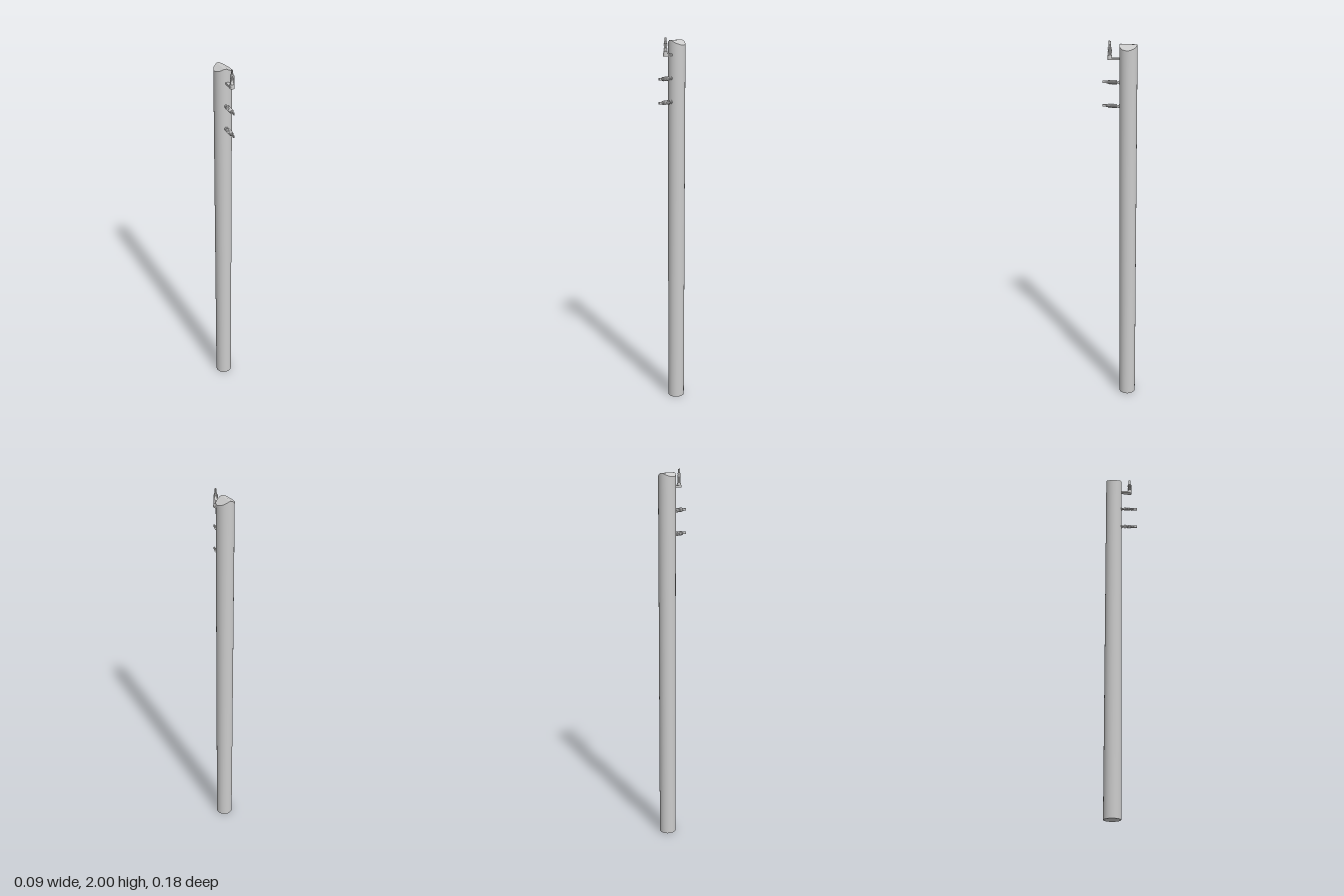
import * as THREE from 'three';

const R = 0.0445, SIDES = 24, POLE_Z = -0.045;
const grey = new THREE.MeshStandardMaterial({ color: 0xcccccc });
const flatGrey = new THREE.MeshStandardMaterial({ color: 0xcccccc, flatShading: true });

function add(parent, name, geometry, material = grey) {
  const mesh = new THREE.Mesh(geometry, material);
  mesh.name = name;
  parent.add(mesh);
  return mesh;
}

// Height of the bevelled pole top: narrow flat ridge with a slope to each side
const ridgeLeft = -R * Math.sin(Math.PI / 12);
const topHeight = x => 1.985 - 0.55 * Math.max(0, x, ridgeLeft - x);

function poleShaft() {
  const g = new THREE.CylinderGeometry(R, R, 2, SIDES, 1, true);
  const p = g.attributes.position;
  for (let i = 0; i < p.count; i++) p.setY(i, p.getY(i) > 0 ? topHeight(p.getX(i)) : 0);
  return g;
}

// Top cap as strips running front to back, so the ridge edges stay straight
function poleCap() {
  const pos = [], idx = [], n = SIDES / 2;
  for (let k = 0; k <= n; k++) {
    const a = k * Math.PI / n, x = R * Math.cos(a), z = R * Math.sin(a);
    pos.push(x, topHeight(x), z, x, topHeight(x), -z);
    if (k === n) break;
    const f = 2 * k, b = f + 1, f2 = f + 2, b2 = f + 3;
    if (k > 0) idx.push(f2, f, b);
    if (k < n - 1) idx.push(f2, b, b2);
    else idx.pop(), idx.push(b);
  }
  const g = new THREE.BufferGeometry();
  g.setAttribute('position', new THREE.Float32BufferAttribute(pos, 3));
  g.setIndex(idx);
  g.computeVertexNormals();
  return g;
}

// Ribbed insulator standing along +y, with a flat connector tab at its tip
function insulator(name) {
  const group = new THREE.Group();
  group.name = name;
  const pts = [[0, -0.002], [0.01, -0.002], [0.01, 0.003], [0.006, 0.005], [0.006, 0.013]];
  for (let i = 0; i < 9; i++) {
    const y = 0.015 + i * 0.0052;
    pts.push([0.006, y], [0.011, y + 0.0005], [0.011, y + 0.0015], [0.006, y + 0.003]);
  }
  pts.push([0.007, 0.061], [0.007, 0.068], [0.004, 0.071], [0, 0.071]);
  add(group, 'ribbedBody',
    new THREE.LatheGeometry(pts.map(p => new THREE.Vector2(...p)), 16), flatGrey);
  add(group, 'connectorTab', new THREE.BoxGeometry(0.005, 0.02, 0.012)).position.y = 0.079;
  return group;
}

export function createModel() {
  const model = new THREE.Group();
  model.name = 'utilityPole';

  // Wooden pole
  const pole = new THREE.Group();
  pole.name = 'pole';
  pole.position.z = POLE_Z;
  model.add(pole);
  add(pole, 'shaft', poleShaft());
  add(pole, 'bevelledTop', poleCap(), flatGrey);
  add(pole, 'base', new THREE.CircleGeometry(R, SIDES).rotateX(Math.PI / 2));

  // Two horizontal insulators on the front
  for (const [name, y] of [['upperInsulator', 1.795], ['lowerInsulator', 1.675]]) {
    const ins = insulator(name);
    ins.rotation.x = Math.PI / 2;
    ins.position.set(-0.001, y, 0);
    model.add(ins);
  }

  // Bracket arm: tapered plate with a rounded outer end (shape y becomes z)
  const cx = 0.007, cz = 0.048;
  const plate = new THREE.Shape();
  plate.moveTo(-0.004, -0.004);
  plate.lineTo(0.009, -0.004);
  plate.lineTo(cx + 0.012, cz);
  plate.absarc(cx, cz, 0.012, 0, Math.PI, false);
  plate.closePath();
  const arm = new THREE.ExtrudeGeometry(plate, { depth: 0.01, bevelEnabled: false, curveSegments: 10 });
  add(model, 'bracketArm', arm.rotateX(Math.PI / 2)).position.y = 1.918;

  // Socket and upright insulator on the bracket
  add(model, 'bracketSocket', new THREE.CylinderGeometry(0.011, 0.012, 0.02, 16))
    .position.set(cx, 1.92, cz);
  const top = insulator('topInsulator');
  top.position.set(cx, 1.911, cz);
  model.add(top);

  return model;
}
